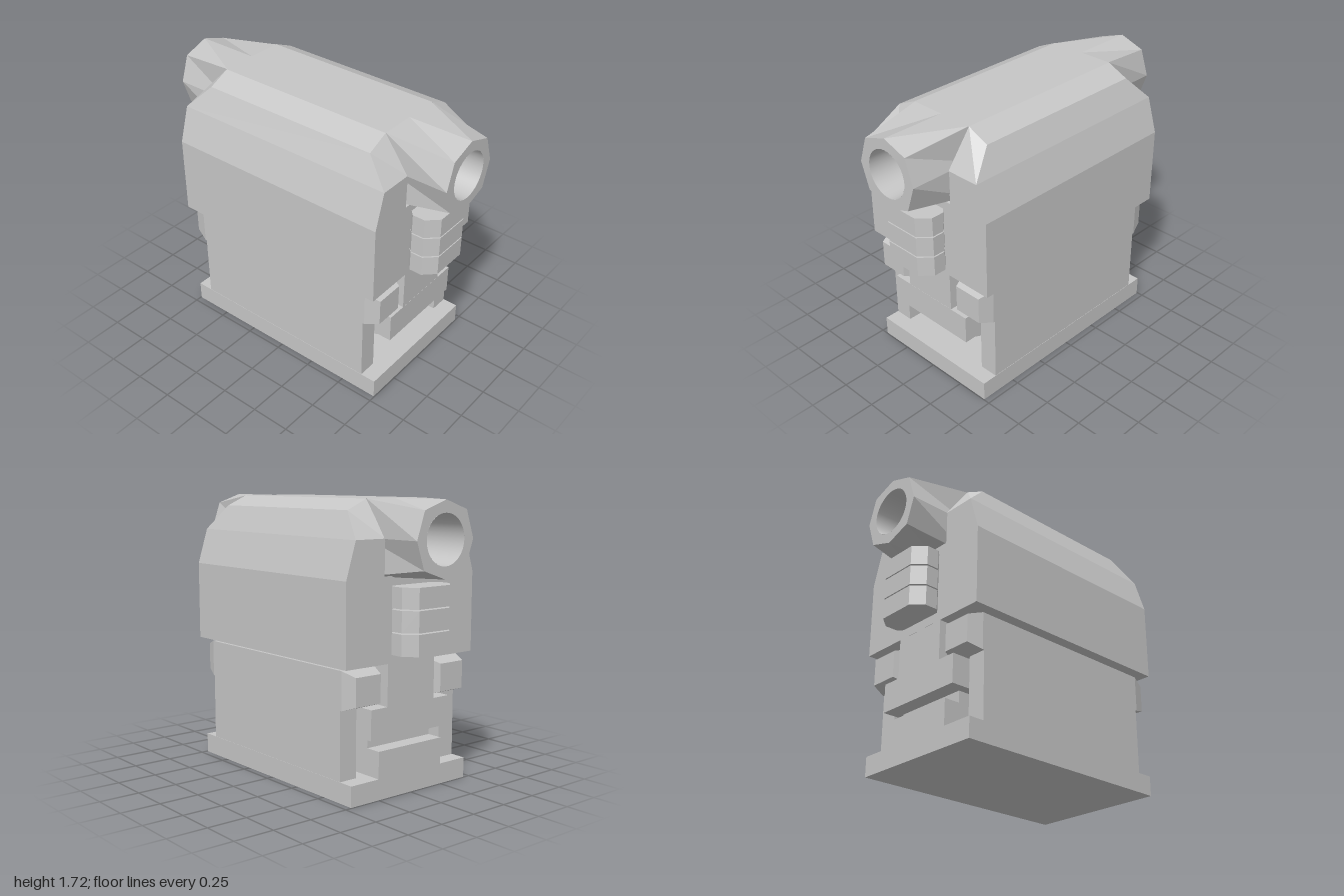
import * as THREE from 'three';

const grey = new THREE.MeshStandardMaterial({ color: 0xc6c6c6, side: THREE.DoubleSide });
grey.name = 'light grey';

// Flat faces from convex polygons, each turned to face away from the centre
function faces(polys, center) {
  const c = new THREE.Vector3(...center);
  const out = [];
  for (const poly of polys) {
    const p = poly.map((q) => new THREE.Vector3(...q));
    const n = new THREE.Vector3();
    p.forEach((a, i) => n.add(a.clone().cross(p[(i + 1) % p.length])));
    const mid = p.reduce((s, a) => s.add(a), new THREE.Vector3()).divideScalar(p.length);
    if (n.dot(mid.sub(c)) < 0) p.reverse();
    for (let i = 1; i < p.length - 1; i++) for (const v of [p[0], p[i], p[i + 1]]) out.push(v.x, v.y, v.z);
  }
  const g = new THREE.BufferGeometry();
  g.setAttribute('position', new THREE.Float32BufferAttribute(out, 3));
  g.computeVertexNormals();
  return g;
}

// Quads joining neighbouring rings of equal length
function bands(rings) {
  const polys = [];
  for (let r = 0; r < rings.length - 1; r++) {
    const a = rings[r], b = rings[r + 1];
    a.forEach((p, i) => {
      const j = (i + 1) % a.length;
      polys.push([p, a[j], b[j], b[i]]);
    });
  }
  return polys;
}

const shapeOf = (pts) => new THREE.Shape(pts.map(([x, y]) => new THREE.Vector2(x, y)));

export function createModel() {
  const model = new THREE.Group();
  const add = (name, geometry) => {
    const mesh = new THREE.Mesh(geometry, grey);
    mesh.name = name;
    model.add(mesh);
    return mesh;
  };
  // Box given by half width, bottom, top and z range
  const box = (name, hx, y0, y1, z0, z1) =>
    add(name, new THREE.BoxGeometry(hx * 2, y1 - y0, z1 - z0).translate(0, (y0 + y1) / 2, (z0 + z1) / 2));

  // Lower frame
  box('basePlate', 0.745, 0, 0.125, -0.457, 0.457);
  box('crossBlock', 0.745, 0.36, 0.54, -0.31, 0.31);
  box('neck', 0.744, 0.54, 0.79, -0.185, 0.185);

  // Inner core, with a foot on one end and an undercut on the other
  const core = shapeOf([
    [-0.745, 0.125], [0.35, 0.125], [0.35, 0.16], [0.55, 0.265], [0.62, 0.295],
    [0.62, 0.36], [-0.645, 0.36], [-0.645, 0.288], [-0.745, 0.288],
  ]);
  add('innerCore', new THREE.ExtrudeGeometry(core, { depth: 0.5, bevelEnabled: false }).translate(0, 0, -0.25));

  // Side walls and the rails with tapered ends above them
  for (const s of [1, -1]) {
    const wallZ = [0.335 * s, 0.455 * s].sort((a, b) => a - b);
    box('sideWall', 0.645, 0.125, 0.54, ...wallZ);
    const ring = (x, inset) => [
      [x, 0.54 + inset, s * (0.21 + inset)], [x, 0.77 - inset, s * (0.21 + inset)],
      [x, 0.77 - inset, s * (0.455 - inset)], [x, 0.54 + inset, s * (0.455 - inset)],
    ];
    const rings = [ring(-0.745, 0.03), ring(-0.655, 0), ring(0.655, 0), ring(0.745, 0.03)];
    add('rail', faces([rings[0], ...bands(rings), rings[3]], [0, 0.655, s * 0.3325]));
  }

  // Hood: rows of height, half length and half depth
  const rows = [[0.79, 0.745, 0.498], [1.28, 0.745, 0.498], [1.5, 0.745, 0.43], [1.655, 0.592, 0.36], [1.717, 0.592, 0.223]];
  const edge = ([y, x, z], s) => [[-x, y, s * z], [x, y, s * z]];
  const hood = [];
  for (const s of [1, -1]) {
    for (let i = 0; i < rows.length - 1; i++) {
      const [a, b] = edge(rows[i], s), [d, c] = edge(rows[i + 1], s);
      hood.push([a, b, c, d]);
    }
    // Ends, left open where the barrels pass through
    for (const m of [1, -1]) {
      const at = (x, y, z) => [m * x, y, s * z];
      const x = 0.745;
      hood.push([at(x, 0.79, 0), at(x, 0.79, 0.223), at(x, 1.29, 0.223), at(x, 1.29, 0)]);
      hood.push([at(x, 0.79, 0.223), at(x, 0.79, 0.498), at(x, 1.28, 0.498), at(x, 1.5, 0.43), at(x, 1.5, 0.215)]);
      hood.push([at(x, 1.5, 0.43), at(0.592, 1.655, 0.36), at(0.592, 1.717, 0.223), at(x, 1.5, 0.215)]);
    }
  }
  for (const row of [rows[0], rows[4]]) hood.push([...edge(row, 1), ...edge(row, -1).reverse()]);
  add('hood', faces(hood, [0, 1.2, 0]));

  // Barrels: square at the hood, eight-sided at the mouth
  const cy = 1.498, h = 0.219;
  const section = (k) => [[0, h], [k, k], [h, 0], [k, -k], [0, -h], [-k, -k], [-h, 0], [-k, k]];
  for (const m of [1, -1]) {
    const ring = (x, k) => section(k).map(([z, y]) => [m * x, cy + y, z]);
    add('barrel', faces(bands([ring(0.592, h), ring(1, 0.163)]), [m * 0.8, cy, 0]));
    const mouth = shapeOf(section(0.163));
    mouth.holes.push(new THREE.Path().absarc(0, 0, 0.147, 0, Math.PI * 2, true));
    const rim = add('barrelMouth', new THREE.ShapeGeometry(mouth, 32));
    rim.position.set(m, cy, 0);
    rim.rotation.y = (m * Math.PI) / 2;
  }

  // Smooth bore right through
  const boreProfile = [[0.147, -1], [0.13, 0], [0.147, 1]].map(([r, y]) => new THREE.Vector2(r, y));
  add('bore', new THREE.LatheGeometry(boreProfile, 32).rotateZ(Math.PI / 2).translate(0, cy, 0));

  // Stacked eight-sided discs under each barrel
  const half = [[0.925, 0.12], [0.855, 0.187], [0.775, 0.187], [0.71, 0.12]];
  const outline = [...half, ...half.map(([x, z]) => [x, -z]).reverse()];
  for (const m of [1, -1]) {
    for (const [y0, y1] of [[0.847, 0.972], [0.98, 1.105], [1.113, 1.235]]) {
      const ring = (y) => outline.map(([x, z]) => [m * x, y, z]);
      const rings = [ring(y0), ring(y1)];
      add('disc', faces([...rings, ...bands(rings)], [m * 0.82, (y0 + y1) / 2, 0]));
    }
  }
  return model;
}
